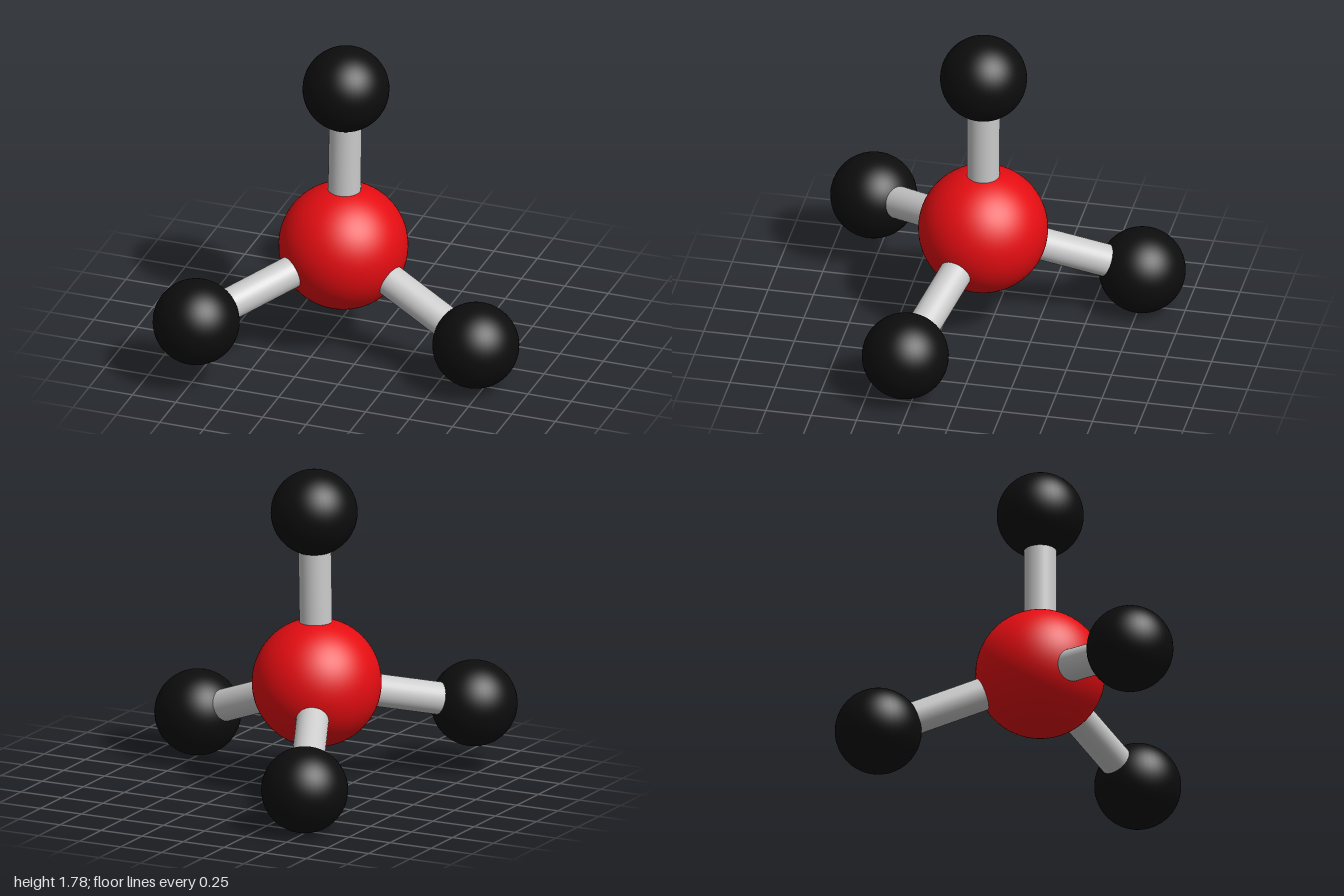
import * as THREE from 'three';

export function createModel() {
  const group = new THREE.Group();
  const red = new THREE.MeshStandardMaterial({ color: 0xe50d12 });
  const black = new THREE.MeshStandardMaterial({ color: 0x0d0d0d });
  const grey = new THREE.MeshStandardMaterial({ color: 0xcccccc });
  const up = new THREE.Vector3(0, 1, 0);

  const add = (name, geometry, material, position) => {
    const mesh = new THREE.Mesh(geometry, material);
    mesh.name = name;
    mesh.position.copy(position);
    group.add(mesh);
    return mesh;
  };

  // Central ball
  const center = new THREE.Vector3(-0.14, 0.6, 0.04);
  add('centralBall', new THREE.SphereGeometry(0.351, 64, 40), red, center);

  // Outer balls, each joined to the centre by a rod
  const outer = {
    top: [-0.127, 1.55, 0.035],
    frontRight: [-0.72, 0.382, 0.765],
    left: [0.715, 0.265, 0.29],
    backRight: [-0.487, 0.235, -0.765],
  };
  const ballGeometry = new THREE.SphereGeometry(0.235, 48, 32);
  for (const [name, point] of Object.entries(outer)) {
    const end = new THREE.Vector3(...point);
    add(name + 'Ball', ballGeometry, black, end);

    const axis = end.clone().sub(center);
    const rodGeometry = new THREE.CylinderGeometry(0.089, 0.089, axis.length(), 32);
    const middle = center.clone().lerp(end, 0.5);
    const rod = add(name + 'Rod', rodGeometry, grey, middle);
    rod.quaternion.setFromUnitVectors(up, axis.normalize());
  }
  return group;
}
